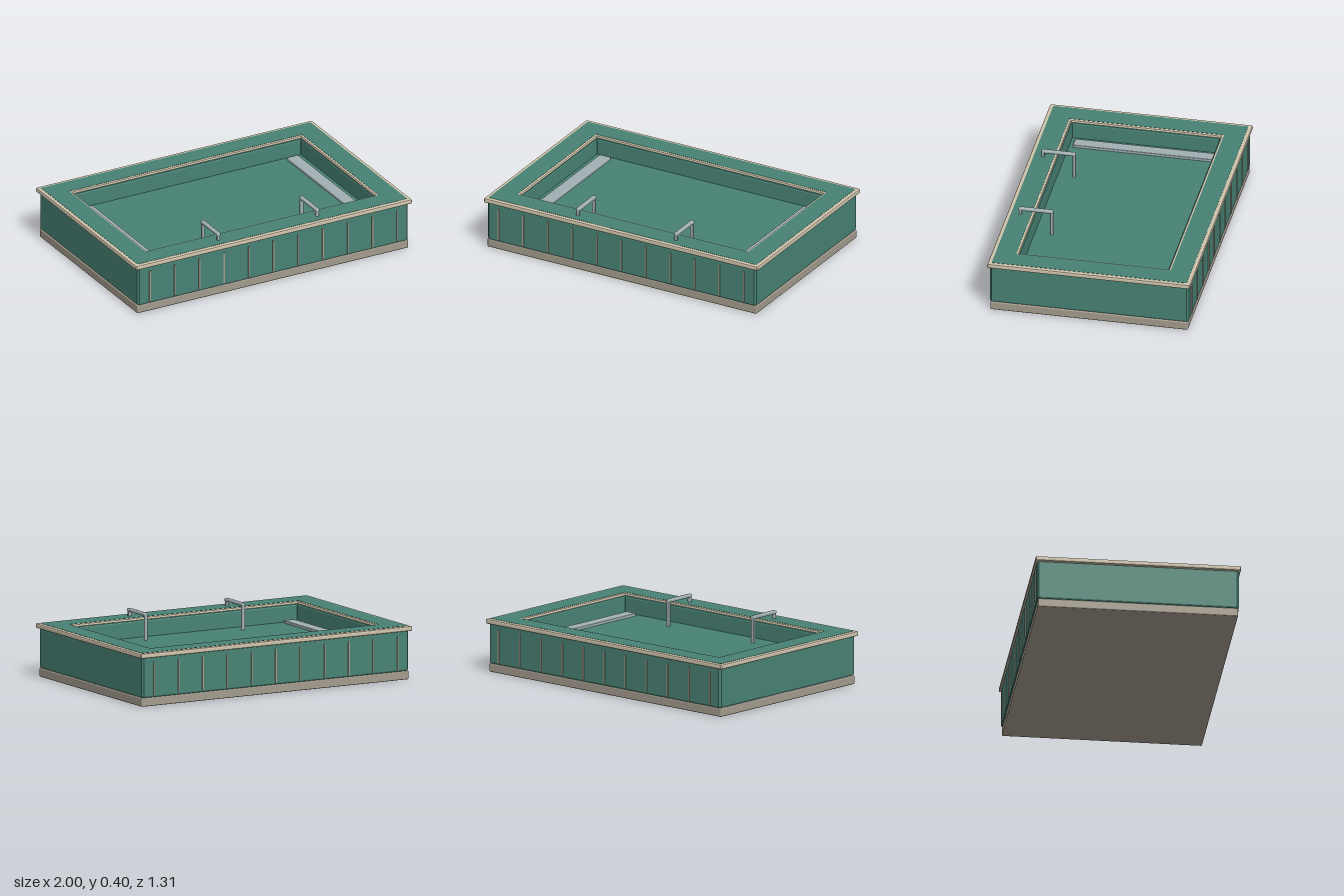
import * as THREE from 'three';
import { RoundedBoxGeometry } from 'three/addons/geometries/RoundedBoxGeometry.js';

const green = new THREE.MeshStandardMaterial({ name: 'pool green', color: 0x488274 });
const beige = new THREE.MeshStandardMaterial({ name: 'coping beige', color: 0xcfc3ab });
const taupe = new THREE.MeshStandardMaterial({ name: 'plinth taupe', color: 0xa39b8d });
const steel = new THREE.MeshStandardMaterial({ name: 'pale steel', color: 0xa2b0b3 });

// Rectangle outline with small cut corners; x and z are half sizes
function outline(x, z, c, Type) {
  const p = [[x - c, -z], [x, c - z], [x, z - c], [x - c, z], [c - x, z], [-x, z - c], [-x, c - z], [c - x, -z]];
  return new Type(p.map(([a, b]) => new THREE.Vector2(a, b)));
}

// Rectangular ring from y0 to y1 with bevelled edges
function frame(outer, inner, y0, y1, bevel, corner) {
  const shape = outline(outer[0], outer[1], corner, THREE.Shape);
  shape.holes.push(outline(inner[0], inner[1], 0.002, THREE.Path));
  const geo = new THREE.ExtrudeGeometry(shape, {
    depth: y1 - y0 - 2 * bevel,
    bevelEnabled: bevel > 0, bevelSize: bevel, bevelThickness: bevel, bevelOffset: -bevel, bevelSegments: 2,
  });
  return geo.rotateX(-Math.PI / 2).translate(0, y0 + bevel, 0);
}

export function createModel() {
  const model = new THREE.Group();
  model.name = 'pool';

  function add(name, geo, mat, parent = model) {
    const mesh = new THREE.Mesh(geo, mat);
    mesh.name = name;
    parent.add(mesh);
    return mesh;
  }
  function box(name, size, pos, mat, r = 0, parent = model) {
    const geo = r ? new RoundedBoxGeometry(...size, 2, r) : new THREE.BoxGeometry(...size);
    add(name, geo, mat, parent).position.set(...pos);
  }

  // Plinth, walls and floor
  box('plinth', [1.964, 0.056, 1.276], [0, 0.028, 0], taupe, 0.007);
  add('walls', frame([0.98, 0.643], [0.82, 0.475], 0.055, 0.33, 0.012, 0.012), green);
  box('floor', [1.7, 0.16, 1.0], [0, 0.14, 0], green);

  // Coping with the green deck set into its top
  add('coping', frame([1, 0.655], [0.828, 0.485], 0.312, 0.343, 0.009, 0.006), beige);
  add('deck', frame([0.976, 0.63], [0.843, 0.5], 0.34, 0.3445, 0, 0.004), green);

  // Thin upright ribs along front and back
  for (const side of [1, -1]) {
    const ribs = new THREE.Group();
    ribs.name = side > 0 ? 'frontRibs' : 'backRibs';
    model.add(ribs);
    for (let i = -5; i <= 5; i++) {
      box('rib', [0.009, 0.215, 0.012], [i * 0.179, 0.178, side * 0.643], taupe, 0, ribs);
    }
  }

  // Benches at both ends, and grab rails over the front edge
  for (const side of [1, -1]) {
    const label = side > 0 ? 'left' : 'right';
    box(label + 'Bench', [0.08, 0.025, 0.9], [side * 0.745, 0.225, 0], steel, 0.005);

    const rail = new THREE.Group();
    rail.name = label + 'GrabRail';
    rail.position.x = side * 0.358;
    model.add(rail);
    box('topBar', [0.028, 0.022, 0.224], [0, 0.384, 0.469], steel, 0.008, rail);
    box('innerPost', [0.022, 0.178, 0.02], [0, 0.304, 0.368], steel, 0.006, rail);
    box('outerPost', [0.022, 0.06, 0.02], [0, 0.363, 0.57], steel, 0.006, rail);
  }
  return model;
}
